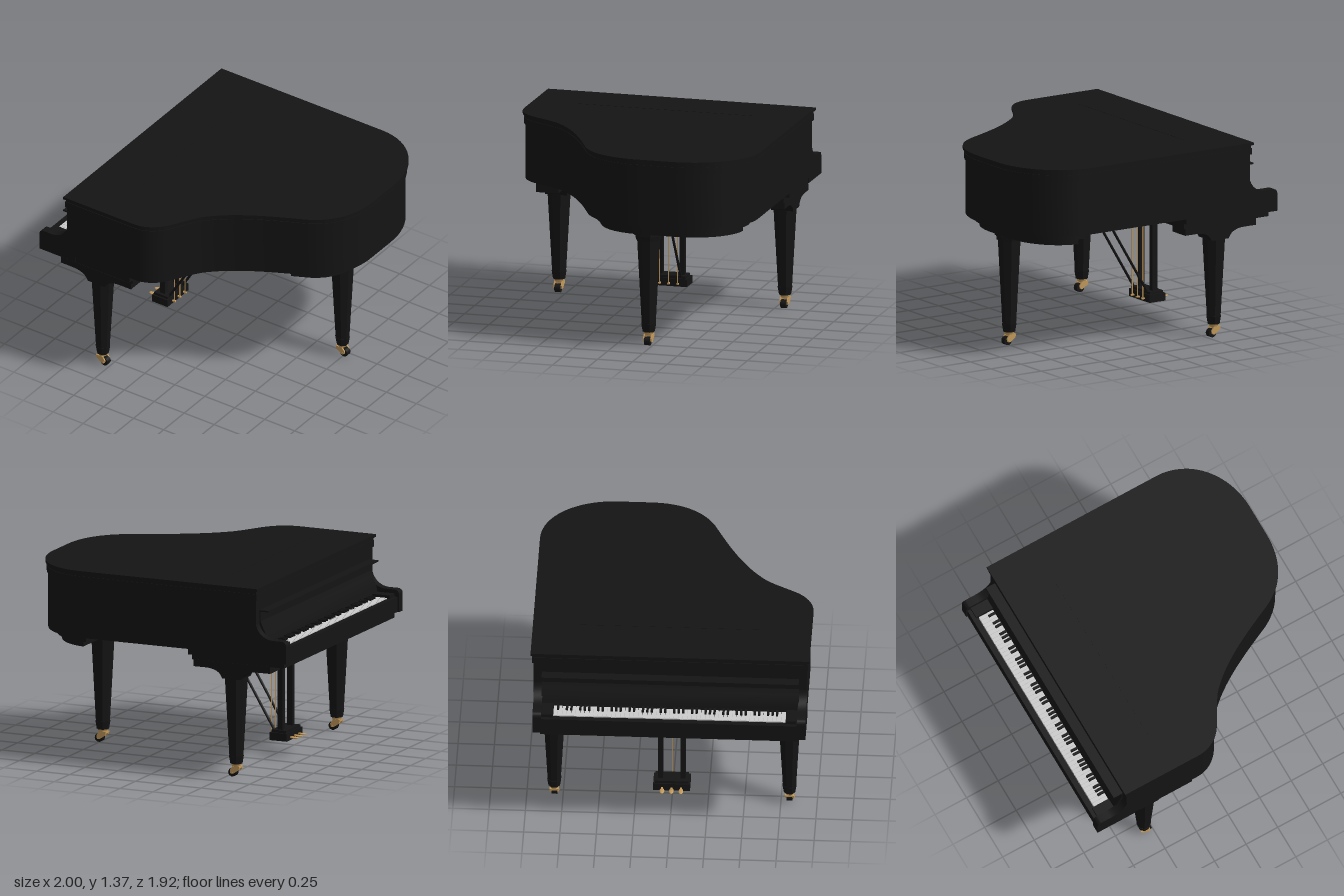
import * as THREE from 'three';
import { toCreasedNormals } from 'three/addons/utils/BufferGeometryUtils.js';

const black = new THREE.MeshStandardMaterial({ color: 0x141414 });
const brass = new THREE.MeshStandardMaterial({ color: 0xc49a5c });
const ivory = new THREE.MeshStandardMaterial({ color: 0xcccccc });

function add(parent, name, geometry, material = black) {
  const mesh = new THREE.Mesh(geometry, material);
  mesh.name = name;
  parent.add(mesh);
  return mesh;
}

// Box given by its minimum and maximum on each axis
function box(x0, x1, y0, y1, z0, z1) {
  return new THREE.BoxGeometry(x1 - x0, y1 - y0, z1 - z0)
    .translate((x0 + x1) / 2, (y0 + y1) / 2, (z0 + z1) / 2);
}

// Plan shape (x, z) made into a slab between two heights
function slab(shape, y0, y1) {
  const g = new THREE.ExtrudeGeometry(shape, { depth: y1 - y0, bevelEnabled: false });
  return toCreasedNormals(g.rotateX(Math.PI / 2).translate(0, y1, 0), 0.5);
}

// Side profile (x, y) made into a board between two z positions
function board(shape, z0, z1) {
  const g = new THREE.ExtrudeGeometry(shape, { depth: z1 - z0, bevelEnabled: false, curveSegments: 14 });
  return toCreasedNormals(g.translate(0, 0, z0), 0.5);
}

const polygon = (pts) => new THREE.Shape(pts.map(([x, y]) => new THREE.Vector2(x, y)));

// Octagonal post with flat faces along x and z; widths are across the flats
function post(x, z, y0, y1, w0, w1) {
  const k = 0.5 / Math.cos(Math.PI / 8);
  const g = new THREE.CylinderGeometry(w1 * k, w0 * k, y1 - y0, 8).rotateY(Math.PI / 8);
  return toCreasedNormals(g.translate(x, (y0 + y1) / 2, z), 0.3);
}

function rod(a, b, r, sides = 10) {
  const p = new THREE.Vector3(...a), q = new THREE.Vector3(...b);
  return new THREE.TubeGeometry(new THREE.LineCurve3(p, q), 1, r, sides);
}

// Winged plan outline, moved inward by d
function outline(d) {
  const s = new THREE.Shape();
  s.moveTo(-0.79, -0.963);
  s.lineTo(0.55, -0.963);
  s.bezierCurveTo(0.82, -0.963, 1, -0.72, 1, -0.45);
  s.lineTo(1, -0.22);
  s.bezierCurveTo(1, 0, 0.91, 0.15, 0.75, 0.235);
  s.bezierCurveTo(0.55, 0.33, 0.3, 0.44, 0.14, 0.615);
  s.bezierCurveTo(0.09, 0.68, 0.05, 0.76, 0.02, 0.81);
  s.bezierCurveTo(-0.03, 0.9, -0.11, 0.957, -0.21, 0.957);
  s.lineTo(-0.79, 0.957);
  const p = s.getPoints(16), n = p.length;
  const normal = (a, b) => new THREE.Vector2(a.y - b.y, b.x - a.x).normalize();
  return p.map((c, i) => {
    const m = normal(p[(i + n - 1) % n], c), o = normal(c, p[(i + 1) % n]);
    return c.clone().addScaledVector(m.clone().add(o), d / (1 + m.dot(o)));
  });
}

function addCaster(parent, x, z) {
  const g = new THREE.Group();
  g.name = 'caster';
  g.position.set(x, 0, z);
  parent.add(g);
  add(g, 'ferrule', new THREE.CylinderGeometry(0.036, 0.03, 0.018, 16).translate(0, 0.083, 0), brass);
  const fork = polygon([[-0.035, 0.076], [-0.032, 0.052], [0.012, 0.022], [0.034, 0.028], [0.036, 0.048], [0.015, 0.076]]);
  for (const s of [-1, 1]) add(g, 'fork', board(fork, s * 0.026 - 0.005, s * 0.026 + 0.005), brass);
  add(g, 'forkCrown', box(-0.032, 0.014, 0.062, 0.076, -0.026, 0.026), brass);
  add(g, 'wheel', new THREE.CylinderGeometry(0.03, 0.03, 0.04, 20).rotateX(Math.PI / 2).translate(0.023, 0.03, 0));
  add(g, 'axle', new THREE.CylinderGeometry(0.008, 0.008, 0.068, 10).rotateX(Math.PI / 2).translate(0.023, 0.03, 0), brass);
}

function addLeg(parent, name, x, z, top) {
  const g = new THREE.Group();
  g.name = name;
  parent.add(g);
  add(g, 'shaft', post(x, z, 0.15, top, 0.09, 0.148));
  add(g, 'foot', post(x, z, 0.092, 0.15, 0.078, 0.096));
  addCaster(g, x, z);
}

export function createModel() {
  const piano = new THREE.Group();
  piano.name = 'grandPiano';

  // Case and layered lid
  add(piano, 'case', slab(new THREE.Shape(outline(0.02)), 0.895, 1.29));
  for (const [d, y0, y1] of [[0.01, 1.285, 1.33], [0.014, 1.33, 1.352], [0, 1.352, 1.37]])
    add(piano, 'lid', slab(new THREE.Shape(outline(d)), y0, y1));
  add(piano, 'lidHinge', box(-0.437, -0.431, 1.36, 1.3715, -0.64, 0.66));

  // Curved arms beside the keyboard
  const arm = new THREE.Shape();
  arm.moveTo(-0.7, 0.855);
  arm.lineTo(-0.7, 1.29);
  arm.lineTo(-0.767, 1.29);
  arm.lineTo(-0.767, 1.13);
  arm.bezierCurveTo(-0.775, 1.06, -0.83, 1.012, -0.9, 1.012);
  arm.lineTo(-0.965, 1.012);
  arm.quadraticCurveTo(-1, 1.01, -1, 0.975);
  arm.lineTo(-1, 0.855);
  for (const s of [-1, 1]) {
    add(piano, 'arm', board(arm, s * 0.91 - 0.03, s * 0.91 + 0.03));
    add(piano, 'keyBlock', box(-0.965, -0.8, 0.9, 0.985, s * 0.842 - 0.04, s * 0.842 + 0.04));
  }

  // Keybed, key slip, fallboard and its folded lip
  add(piano, 'keybed', box(-0.985, -0.6, 0.855, 0.93, -0.885, 0.885));
  add(piano, 'keySlip', box(-0.99, -0.95, 0.857, 0.962, -0.885, 0.885));
  add(piano, 'fallboard', board(polygon([[-0.7, 0.92], [-0.7, 1.14], [-0.775, 1.14],
    [-0.795, 1.09], [-0.83, 1.02], [-0.838, 0.92]]), -0.885, 0.885));
  add(piano, 'fallboardLip', box(-0.84, -0.765, 1.195, 1.206, -0.885, 0.885));
  add(piano, 'fallboardLipBack', box(-0.78, -0.765, 1.1, 1.2, -0.885, 0.885));

  // Keyboard
  const keys = new THREE.Group();
  keys.name = 'keyboard';
  piano.add(keys);
  const step = 1.6 / 52;
  for (let i = 0; i < 52; i++) {
    const z = -0.8 + i * step;
    add(keys, 'whiteKey', box(-0.946, -0.83, 0.93, 0.967, z + 0.001, z + step - 0.001), ivory);
    if (i < 51 && [0, 2, 3, 5, 6].includes(i % 7))
      add(keys, 'blackKey', box(-0.885, -0.83, 0.95, 0.983, z + step - 0.008, z + step + 0.008));
  }

  // Underside: front plates, with a curved tongue for the pedal braces
  const plate = new THREE.Shape();
  plate.moveTo(-0.98, -0.935);
  plate.lineTo(-0.25, -0.935);
  plate.lineTo(-0.21, -0.38);
  plate.bezierCurveTo(-0.1, -0.38, -0.03, -0.3, -0.03, -0.15);
  plate.lineTo(-0.03, 0.15);
  plate.bezierCurveTo(-0.03, 0.3, -0.1, 0.38, -0.21, 0.38);
  plate.lineTo(-0.25, 0.935);
  plate.lineTo(-0.98, 0.935);
  add(piano, 'frontPlate', slab(plate, 0.855, 0.896));
  add(piano, 'frontLowerPlate', box(-0.96, -0.26, 0.812, 0.856, -0.888, 0.888));

  // Stepped plates under the tail, following the rim
  for (const [d, x, y0, y1] of [[0.08, 0.52, 0.855, 0.896], [0.115, 0.56, 0.812, 0.856]])
    add(piano, 'tailPlate', slab(new THREE.Shape(outline(d).filter((p) => p.x >= x - 0.01)), y0, y1));

  // Front legs with coved brackets
  const bracket = new THREE.Shape();
  bracket.moveTo(-0.855, 0.813);
  bracket.lineTo(-0.855, 0.765);
  bracket.lineTo(-0.75, 0.765);
  bracket.quadraticCurveTo(-0.65, 0.76, -0.632, 0.7);
  bracket.lineTo(-0.488, 0.7);
  bracket.quadraticCurveTo(-0.47, 0.76, -0.37, 0.765);
  bracket.lineTo(-0.27, 0.765);
  bracket.lineTo(-0.27, 0.813);
  for (const s of [-1, 1]) {
    add(piano, 'legBracket', board(bracket, s * 0.81 - 0.08, s * 0.81 + 0.08));
    addLeg(piano, 'frontLeg', -0.56, s * 0.81, 0.705);
  }

  // Tail leg with stepped collar
  add(piano, 'tailLegCollar', post(0.735, -0.215, 0.78, 0.813, 0.19, 0.19));
  add(piano, 'tailLegCollar', post(0.735, -0.215, 0.745, 0.78, 0.162, 0.172));
  addLeg(piano, 'tailLeg', 0.735, -0.215, 0.745);

  // Pedal lyre
  const lyre = new THREE.Group();
  lyre.name = 'pedalLyre';
  piano.add(lyre);
  add(lyre, 'topBlock', box(-0.62, -0.46, 0.798, 0.815, -0.12, 0.12));
  add(lyre, 'base', box(-0.62, -0.49, 0.11, 0.165, -0.127, 0.127));
  add(lyre, 'baseCap', box(-0.61, -0.5, 0.165, 0.183, -0.115, 0.115));
  for (const s of [-1, 1]) {
    add(lyre, 'pillar', box(-0.575, -0.535, 0.18, 0.8, s * 0.078 - 0.017, s * 0.078 + 0.017));
    add(lyre, 'brace', rod([-0.52, 0.15, s * 0.08], [-0.085, 0.87, s * 0.08], 0.009));
  }
  for (const z of [-0.065, 0, 0.065]) {
    add(lyre, 'pedalRod', rod([-0.475, 0.13, z], [-0.475, 0.815, z], 0.004, 8), brass);
    add(lyre, 'pedalStem', box(-0.64, -0.465, 0.127, 0.137, z - 0.007, z + 0.007), brass);
    add(lyre, 'pedal', new THREE.SphereGeometry(1, 14, 8).scale(0.032, 0.007, 0.017).translate(-0.652, 0.129, z), brass);
  }
  return piano;
}
